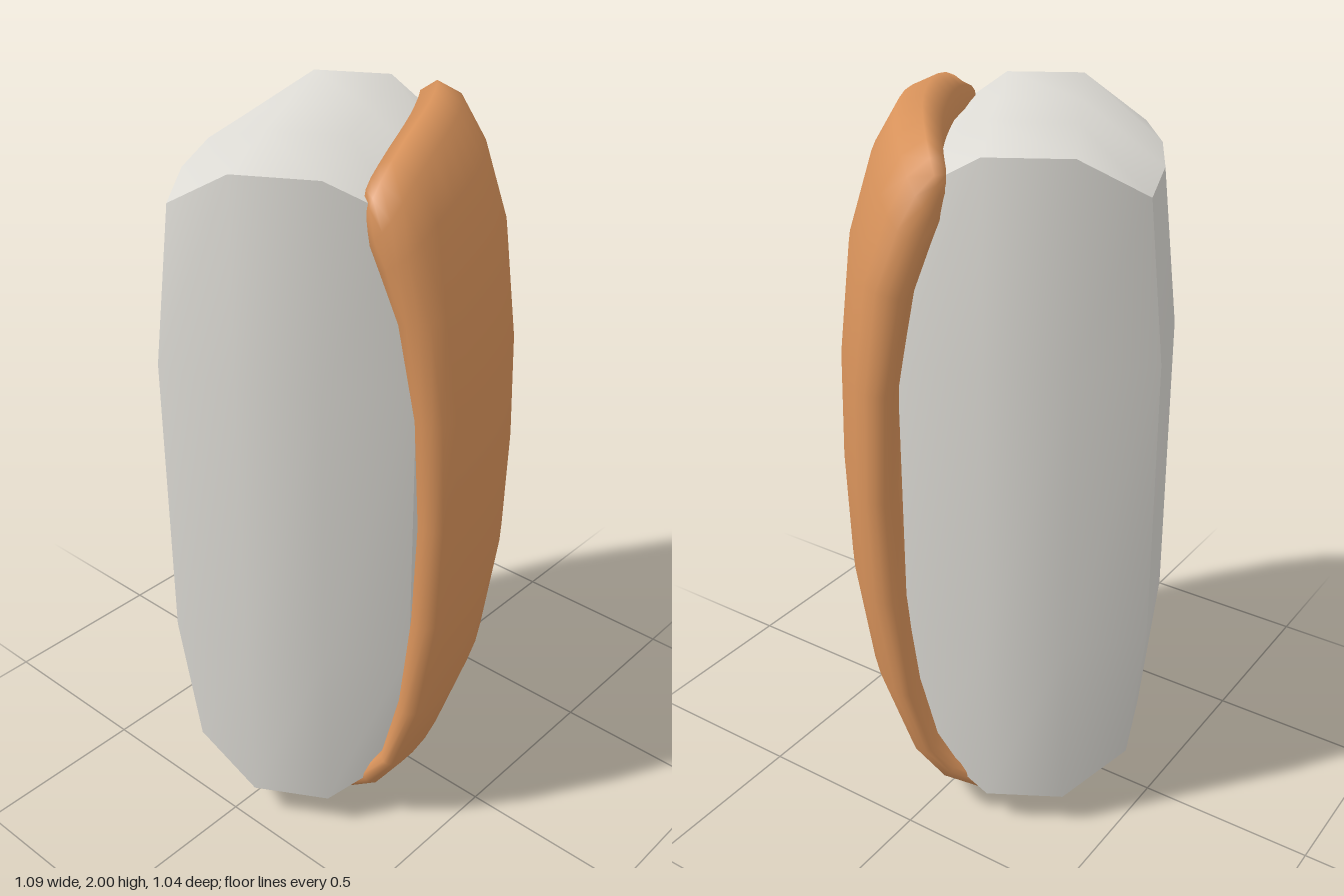
import * as THREE from 'three';

const grey = new THREE.MeshStandardMaterial({ color: 0xdddbd5 });
grey.name = 'warm grey';
const orange = new THREE.MeshStandardMaterial({ color: 0xd9935b, side: THREE.DoubleSide });
orange.name = 'soft orange';

// Bulged block: half sizes [x, y, z] chosen by which axes are on the outside
const blockRule = {
  xyz: [0.352, 0.81, 0.2825],
  xz: [0.381, 0.4, 0.3225],
  xy: [0.432, 0.92, 0.1075],
  yz: [0.115, 0.815, 0.3195],
  x: [0.461, 0.4, 0.1075],
  y: [0.115, 0.92, 0.1075],
  z: [0.1, 0.4, 0.365],
};

function makeBlock() {
  const geo = new THREE.BoxGeometry(2, 2, 2, 3, 3, 3);
  const pos = geo.attributes.position;
  for (let i = 0; i < pos.count; i++) {
    const p = [pos.getX(i), pos.getY(i), pos.getZ(i)];
    const key = ['x', 'y', 'z'].filter((_, a) => Math.abs(p[a]) > 0.9).join('');
    const half = blockRule[key];
    pos.setXYZ(i, ...p.map((c, a) => Math.sign(c) * half[a]));
  }
  // each of the six panels stays smooth, with hard edges between them
  geo.computeVertexNormals();
  const mesh = new THREE.Mesh(geo, grey);
  mesh.name = 'block';
  mesh.position.set(-0.013, 1.02, -0.0775);
  return mesh;
}

// Cover stations from the top lip, down the front, to the flap underneath:
// [half width, centre z, centre y, edge z, edge y, rim z, rim y]
const stations = [
  [0.36, 0.15, 1.86, 0.12, 1.86, 0.12, 1.85],
  [0.38, 0.15, 1.96, 0.115, 1.91, 0.11, 1.86],
  [0.415, 0.2, 2.0, 0.14, 1.905, 0.12, 1.83],
  [0.43, 0.27, 1.97, 0.19, 1.86, 0.13, 1.78],
  [0.44, 0.335, 1.86, 0.235, 1.78, 0.155, 1.72],
  [0.446, 0.4, 1.65, 0.295, 1.62, 0.2, 1.6],
  [0.447, 0.435, 1.35, 0.33, 1.35, 0.245, 1.35],
  [0.447, 0.443, 1.05, 0.34, 1.05, 0.26, 1.05],
  [0.447, 0.435, 0.75, 0.33, 0.75, 0.25, 0.75],
  [0.442, 0.395, 0.45, 0.285, 0.45, 0.22, 0.45],
  [0.43, 0.31, 0.2, 0.215, 0.24, 0.175, 0.26],
  [0.405, 0.23, 0.08, 0.14, 0.13, 0.12, 0.19],
  [0.385, 0.12, 0.015, 0.05, 0.085, 0.06, 0.15],
  [0.375, 0.0, 0.0, -0.03, 0.08, -0.02, 0.14],
  [0.34, -0.08, 0.02, -0.065, 0.08, -0.05, 0.13],
  [0.31, -0.1, 0.06, -0.085, 0.085, -0.06, 0.13],
  [0.27, -0.06, 0.13, -0.05, 0.13, -0.05, 0.13],
];

// Half cross-section: [share of the width, share of the way from edge to rim]
const halfSection = [[0.2, 0], [0.4, 0], [0.6, 0], [0.78, 0], [0.92, 0],
  [0.985, 0.15], [1, 0.45], [0.995, 0.75], [0.96, 0.97], [0.8, 1.05]];
const section = [
  ...halfSection.map(([f, d]) => [-f, d]).reverse(),
  [0, 0],
  ...halfSection,
];

function makeCover() {
  const verts = [], index = [], cols = section.length;
  stations.forEach(([w, cz, cy, ez, ey, rz, ry], s) => {
    section.forEach(([f, d], c) => {
      const a = Math.abs(f);
      let z = cz + (ez - cz) * a ** 2.1;
      let y = cy + (ey - cy) * a ** 3;
      if (d > 0) {
        z = ez + (rz - ez) * d;
        y = ey + (ry - ey) * d;
      }
      verts.push(f * w, y, z);
      if (s && c) {
        const k = s * cols + c;
        const up = k - cols;
        index.push(up - 1, k - 1, up, up, k - 1, k);
      }
    });
  });
  const geo = new THREE.BufferGeometry();
  geo.setAttribute('position', new THREE.Float32BufferAttribute(verts, 3));
  geo.setIndex(index);
  geo.computeVertexNormals();
  const mesh = new THREE.Mesh(geo, orange);
  mesh.name = 'cover';
  return mesh;
}

export function createModel() {
  const model = new THREE.Group();
  model.name = 'coveredBlock';
  const turned = new THREE.Group();
  turned.name = 'turnedBody';
  turned.rotation.y = Math.PI / 6;
  turned.add(makeBlock(), makeCover());
  model.add(turned);
  return model;
}
